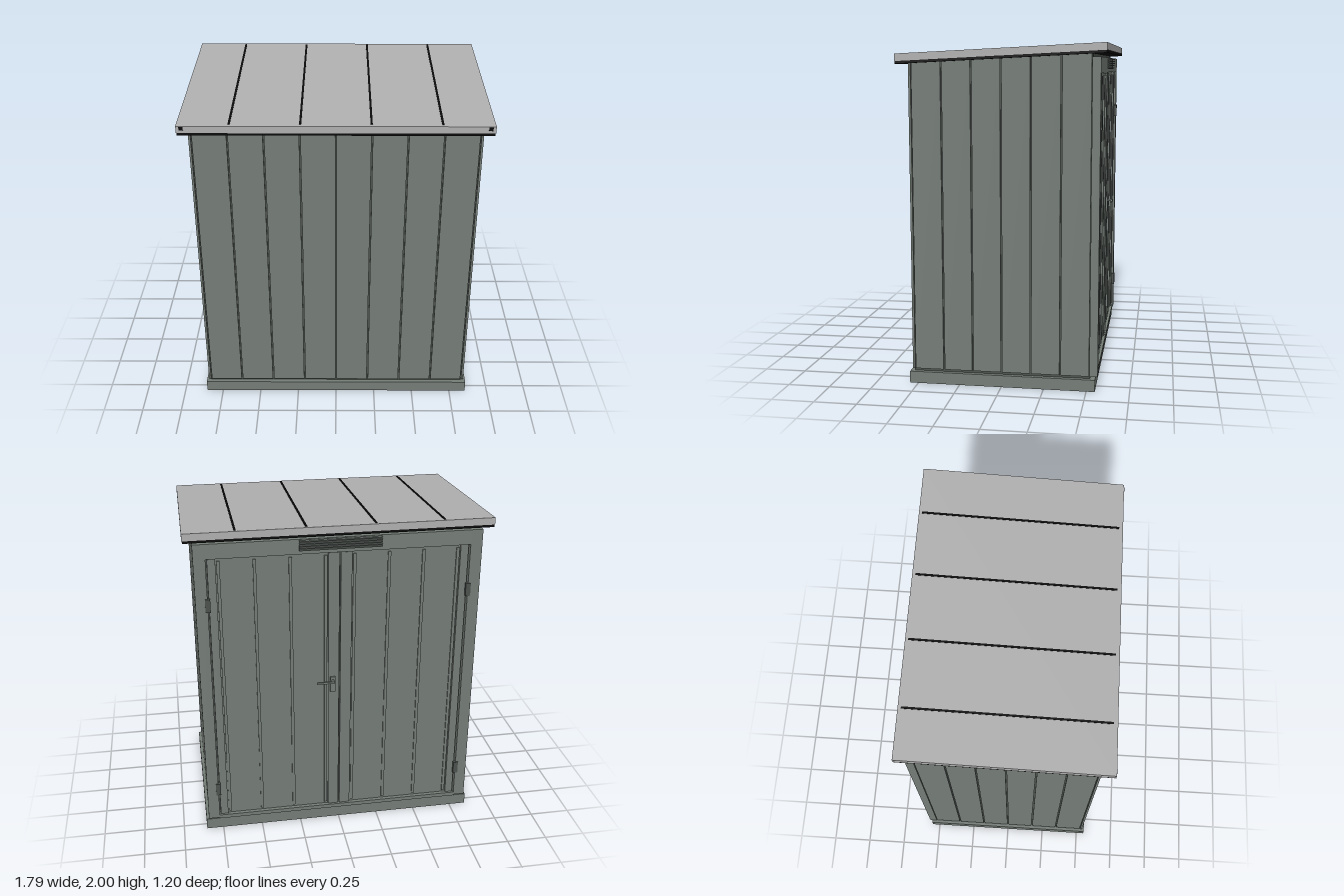
import * as THREE from 'three';

const wall = new THREE.MeshStandardMaterial({ color: 0x757d77 });
wall.name = 'sage green metal';
const groove = new THREE.MeshStandardMaterial({ color: 0x4c524e });
groove.name = 'dark green groove';
const roofGrey = new THREE.MeshStandardMaterial({ color: 0xb0b0b0 });
roofGrey.name = 'light grey roof';
const black = new THREE.MeshStandardMaterial({ color: 0x0a0a0a });
black.name = 'black trim';

const SLOPE = 0.05;
const underRoof = (z) => 1.915 - SLOPE * z;

export function createModel() {
  const shed = new THREE.Group();
  shed.name = 'gardenShed';

  function add(geometry, name, material, parent = shed) {
    const mesh = new THREE.Mesh(geometry, material);
    mesh.name = name;
    parent.add(mesh);
    return mesh;
  }

  // Box given by its limits on each axis
  function block(name, material, [x0, x1], [y0, y1], [z0, z1], parent) {
    const g = new THREE.BoxGeometry(x1 - x0, y1 - y0, z1 - z0);
    g.translate((x0 + x1) / 2, (y0 + y1) / 2, (z0 + z1) / 2);
    return add(g, name, material, parent);
  }

  // Upright box whose top follows the underside of the roof
  function wallBlock(name, material, x, y0, z, parent) {
    const mesh = block(name, material, x, [y0, 1], z, parent);
    const p = mesh.geometry.attributes.position;
    for (let i = 0; i < p.count; i++) {
      if (p.getY(i) > 0.9) p.setY(i, underRoof(p.getZ(i)));
    }
    mesh.geometry.computeVertexNormals();
    return mesh;
  }

  // Flat box sheared to the roof pitch; heights are those at z = 0
  function pitched(name, material, x, y, z, parent) {
    const mesh = block(name, material, x, y, z, parent);
    const p = mesh.geometry.attributes.position;
    for (let i = 0; i < p.count; i++) p.setY(i, p.getY(i) - SLOPE * p.getZ(i));
    mesh.geometry.computeVertexNormals();
    return mesh;
  }

  // Plinth and inner shell
  block('plinth', wall, [-0.855, 0.855], [0, 0.07], [-0.55, 0.55]);
  wallBlock('innerShell', groove, [-0.828, 0.828], 0.07, [-0.52, 0.523]);

  // Front cladding
  const cladding = new THREE.Group();
  cladding.name = 'cladding';
  shed.add(cladding);
  const gap = 0.004;
  const frontEdges = [-0.825, -0.62, -0.413, -0.206, 0, 0.206, 0.413, 0.62, 0.825];
  for (let i = 0; i < frontEdges.length - 1; i++) {
    wallBlock('frontPanel', wall, [frontEdges[i] + gap, frontEdges[i + 1] - gap], 0.085, [0.515, 0.535], cladding);
  }

  // Side cladding, corner strips and door posts
  const sideEdges = [-0.518, -0.345, -0.172, 0, 0.172, 0.345, 0.522];
  for (const s of [-1, 1]) {
    const span = (a, b) => [Math.min(s * a, s * b), Math.max(s * a, s * b)];
    for (let i = 0; i < sideEdges.length - 1; i++) {
      wallBlock('sidePanel', wall, span(0.82, 0.838), 0.085, [sideEdges[i] + gap, sideEdges[i + 1] - gap], cladding);
    }
    wallBlock('cornerStrip', wall, span(0.827, 0.84), 0.085, [0.522, 0.535], cladding);
    block('doorPost', wall, span(0.77, 0.84), [0.085, 1.92], [-0.565, -0.517]);
  }

  // Door frame
  block('doorHeader', wall, [-0.77, 0.77], [1.83, 1.92], [-0.565, -0.517]);
  block('doorSill', wall, [-0.77, 0.77], [0.075, 0.1], [-0.56, -0.517]);

  // Pair of doors with stiles, ribs and hinges
  for (const s of [-1, 1]) {
    const door = new THREE.Group();
    door.name = s > 0 ? 'leftDoor' : 'rightDoor';
    shed.add(door);
    const span = (a, b) => [Math.min(s * a, s * b), Math.max(s * a, s * b)];
    block('doorPanel', wall, span(0.004, 0.762), [0.105, 1.825], [-0.543, -0.515], door);
    block('meetingStile', wall, span(0.004, 0.07), [0.105, 1.825], [-0.553, -0.54], door);
    block('hingeStile', wall, span(0.715, 0.762), [0.105, 1.825], [-0.553, -0.54], door);
    for (const x of [0.085, 0.29, 0.495, 0.7]) {
      block('doorRib', wall, span(x - 0.009, x + 0.009), [0.12, 1.81], [-0.551, -0.54], door);
    }
    for (const y of [0.3, 1.55]) {
      block('hinge', groove, span(0.755, 0.785), [y - 0.04, y + 0.04], [-0.572, -0.545], door);
    }
  }

  // Door handle
  const handle = new THREE.Group();
  handle.name = 'doorHandle';
  shed.add(handle);
  block('handlePlate', wall, [0.028, 0.058], [0.93, 1.03], [-0.564, -0.55], handle);
  const spindle = new THREE.CylinderGeometry(0.007, 0.007, 0.04, 12);
  spindle.rotateX(Math.PI / 2);
  add(spindle, 'handleSpindle', wall, handle).position.set(0.043, 1.008, -0.575);
  block('handleLever', wall, [0.036, 0.145], [1.002, 1.014], [-0.597, -0.585], handle);

  // Louvred vent above the doors
  block('ventBacking', groove, [-0.24, 0.24], [1.85, 1.915], [-0.57, -0.56]);
  for (let i = 0; i < 5; i++) {
    const y = 1.857 + i * 0.0135;
    block('ventSlat', wall, [-0.24, 0.24], [y - 0.003, y + 0.003], [-0.582, -0.565]);
  }

  // Single-pitch roof with black underside trim and seams
  const roof = new THREE.Group();
  roof.name = 'roof';
  shed.add(roof);
  pitched('roofTrim', black, [-0.892, 0.892], [1.911, 1.927], [-0.598, 0.598], roof);
  pitched('roofSheet', roofGrey, [-0.895, 0.895], [1.926, 1.968], [-0.6, 0.6], roof);
  for (const x of [-0.6, -0.2, 0.2, 0.6]) {
    pitched('roofSeam', black, [x - 0.006, x + 0.006], [1.967, 1.971], [-0.582, 0.577], roof);
  }
  for (const x of [-0.866, 0.866]) {
    block('roofEndCap', black, [x - 0.012, x + 0.012], [1.912, 1.934], [0.597, 0.602], roof);
  }
  return shed;
}
